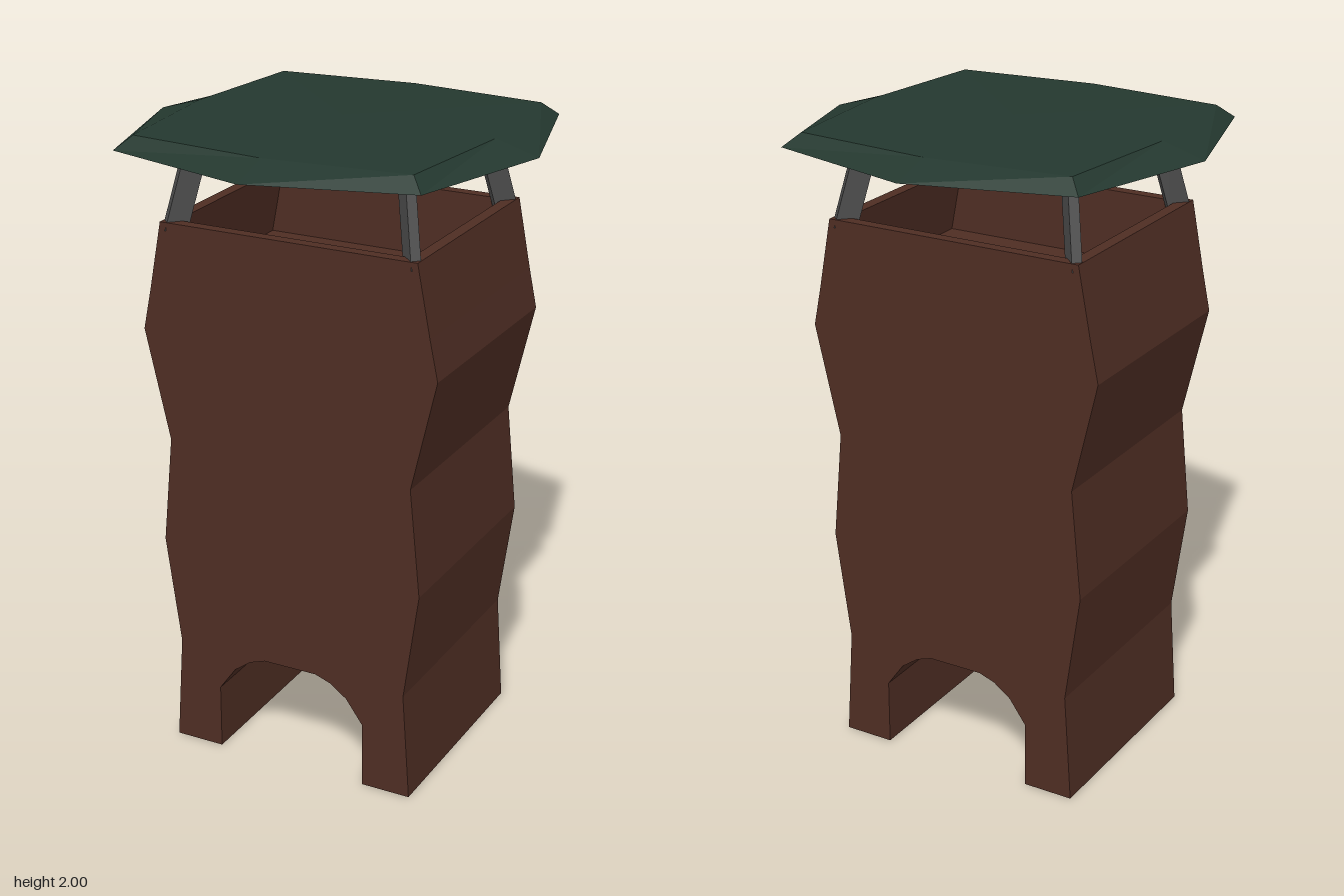
import * as THREE from 'three';

const brown = new THREE.MeshStandardMaterial({ name: 'brownBody', color: 0x4e2d23 });
const green = new THREE.MeshStandardMaterial({ name: 'darkGreenRoof', color: 0x24382f });
const grey = new THREE.MeshStandardMaterial({ name: 'greyMetal', color: 0x4c4c4c });

// Flat-faced skin over successive rings of [x, y, z], each counter-clockwise from above
function loft(rings, capStart, capEnd) {
  const v = [];
  const tri = (...p) => p.forEach((q) => v.push(...q));
  const n = rings[0].length;
  for (let r = 0; r < rings.length - 1; r++) {
    for (let i = 0; i < n; i++) {
      const j = (i + 1) % n, a = rings[r], b = rings[r + 1];
      tri(a[i], a[j], b[j]);
      tri(a[i], b[j], b[i]);
    }
  }
  const first = rings[0], last = rings[rings.length - 1];
  for (let i = 0; i < n; i++) {
    const j = (i + 1) % n;
    if (capStart) tri(capStart, first[j], first[i]);
    if (capEnd) tri(capEnd, last[i], last[j]);
  }
  const g = new THREE.BufferGeometry();
  g.setAttribute('position', new THREE.Float32BufferAttribute(v, 3));
  g.computeVertexNormals();
  return g;
}

function add(group, name, geometry, material) {
  const mesh = new THREE.Mesh(geometry, material);
  mesh.name = name;
  group.add(mesh);
  return mesh;
}

const rect = (x, y, z) => [[x, y, z], [x, y, -z], [-x, y, -z], [-x, y, z]];

// Octagon with separate reach for the edge middles and the corners
const octagon = (mid, corner, y) => Array.from({ length: 8 }, (_, i) => {
  const a = (i * Math.PI) / 4;
  const r = i % 2 ? corner * Math.SQRT2 : mid;
  return [r * Math.cos(a), y, -r * Math.sin(a)];
});

export function createModel() {
  const model = new THREE.Group();
  model.name = 'chimney';
  const depth = 0.355, floorY = 1.5, floorX = 0.456;

  // Wavy body with an arched opening running front to back
  const side = [[0.41, 0], [0.387, 0.345], [0.435, 0.69], [0.402, 1.03], [0.482, 1.375], [floorX, floorY]];
  const arch = [[0.25, 0], [0.25, 0.21], [0.195, 0.287], [0.14, 0.327], [0.088, 0.345]];
  const mirror = (pts) => pts.map(([x, y]) => [-x, y]).reverse();
  const outline = [...side, ...mirror(side), ...arch.map(([x, y]) => [-x, y]), ...[...arch].reverse()];
  const shape = new THREE.Shape(outline.map(([x, y]) => new THREE.Vector2(x, y)));
  const body = new THREE.ExtrudeGeometry(shape, { depth: depth * 2, bevelEnabled: false });
  body.translate(0, 0, -depth);
  add(model, 'body', body, brown);

  // Rim walls around the sunken top
  add(model, 'topRim', loft([
    rect(floorX, floorY, depth), rect(0.415, 1.715, depth),
    rect(0.378, 1.715, depth - 0.037), rect(floorX - 0.037, floorY, depth - 0.037),
  ]), brown);

  // Four leaning flat posts, set on the diagonals
  const d = Math.SQRT1_2;
  for (const [sx, sz] of [[1, 1], [1, -1], [-1, -1], [-1, 1]]) {
    const section = (cx, y, cz) => [[1, -1], [1, 1], [-1, 1], [-1, -1]].map(([u, w]) => {
      const r = u * 0.035, t = w * 0.015;
      return [sx * cx + (sx * r + sz * t) * d, y, sz * cz + (sz * r - sx * t) * d];
    });
    const low = [sx * 0.383, 1.69, sz * 0.322], high = [sx * 0.331, 1.955, sz * 0.264];
    add(model, 'roofPost', loft([section(0.383, 1.69, 0.322), section(0.331, 1.955, 0.264)], low, high), grey);
  }

  // Low octagonal roof: flat underside, sloped edge, slight peak
  add(model, 'roof', loft(
    [octagon(0.617, 0.482, 1.95), octagon(0.484, 0.44, 1.99)],
    [0, 1.95, 0], [0, 2, 0],
  ), green);

  return model;
}
